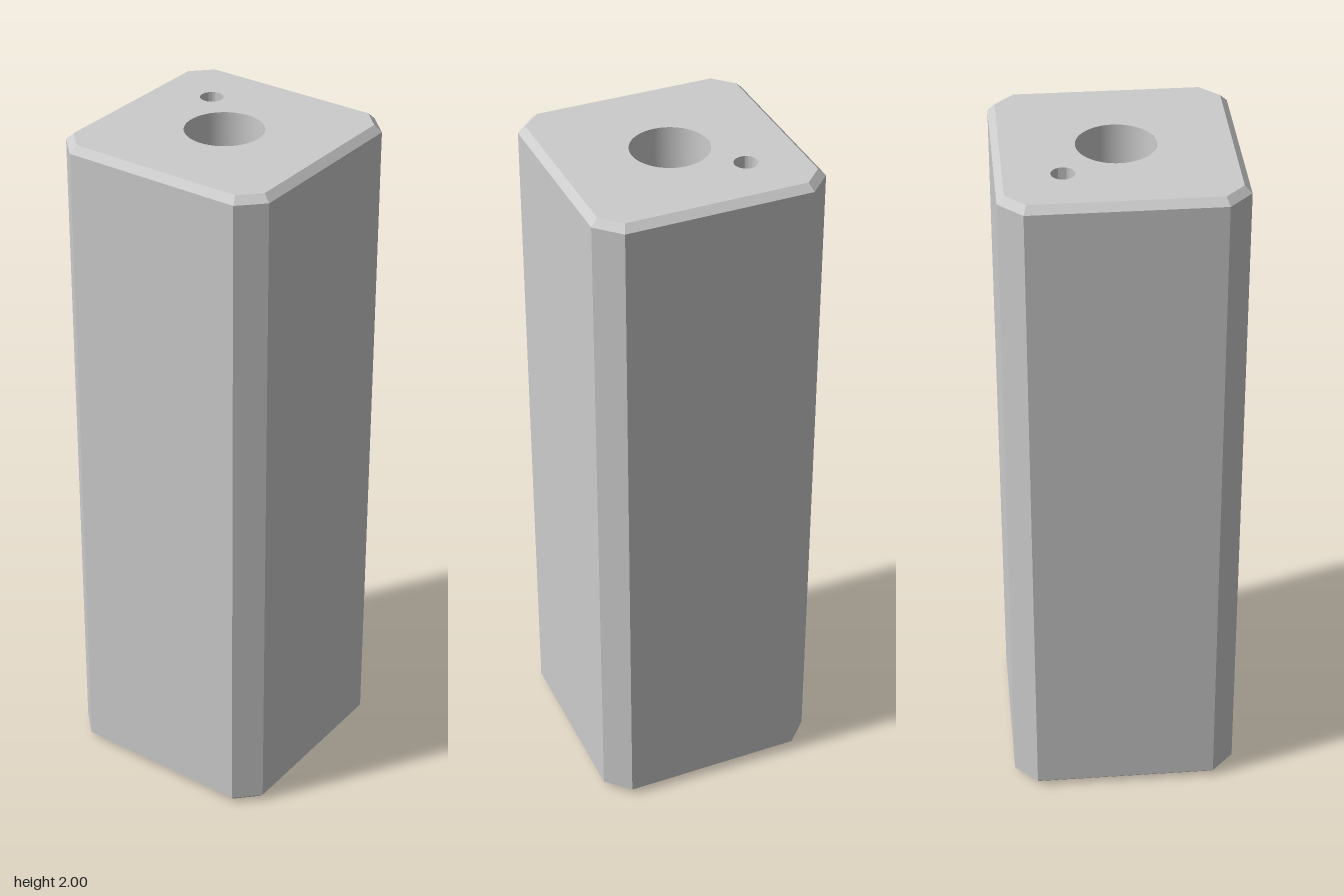
import * as THREE from 'three';
import { toCreasedNormals } from 'three/addons/utils/BufferGeometryUtils.js';

const HEIGHT = 2, HALF = 0.333, CORNER = 0.267, BEVEL = 0.02;
const BORE = 0.11, COUNTERBORE = 0.167, PIN = 0.033, PIN_POS = 0.153;
const SEGMENTS = 64;

// Square with cut corners, counter-clockwise, inset by a uniform distance
function octagon(inset) {
  const h = HALF - inset, c = CORNER - inset * Math.tan(Math.PI / 8);
  return [[h, -c], [h, c], [c, h], [-c, h], [-h, c], [-h, -c], [-c, -h], [c, -h]]
    .map(([x, y]) => new THREE.Vector2(x, y));
}

// Flat walls and bevels lofted through octagons at successive heights
function shellGeometry(levels) {
  const positions = [];
  const loops = levels.map(([y, inset]) => octagon(inset).map(p => [p.x, y, -p.y]));
  for (let k = 0; k < loops.length - 1; k++) {
    for (let i = 0; i < 8; i++) {
      const j = (i + 1) % 8;
      const a = loops[k][i], b = loops[k][j], c = loops[k + 1][j], d = loops[k + 1][i];
      positions.push(...a, ...b, ...c, ...a, ...c, ...d);
    }
  }
  const geometry = new THREE.BufferGeometry();
  geometry.setAttribute('position', new THREE.Float32BufferAttribute(positions, 3));
  geometry.computeVertexNormals();
  return geometry;
}

// End face pierced by round holes given as [x, y, radius]
function capGeometry(holes) {
  const shape = new THREE.Shape(octagon(BEVEL));
  for (const [x, y, r] of holes) {
    shape.holes.push(new THREE.Path().absarc(x, y, r, 0, Math.PI * 2, true));
  }
  return new THREE.ShapeGeometry(shape, SEGMENTS);
}

// Inward-facing hole lining turned from a profile
function holeGeometry(profile) {
  const points = profile.map(([r, y]) => new THREE.Vector2(r, y));
  return toCreasedNormals(new THREE.LatheGeometry(points, SEGMENTS), 0.6);
}

export function createModel() {
  const model = new THREE.Group();
  model.name = 'chamferedBlock';
  const material = new THREE.MeshStandardMaterial({ color: 0xcccccc, side: THREE.DoubleSide });
  const add = (name, geometry) => {
    const mesh = new THREE.Mesh(geometry, material);
    mesh.name = name;
    model.add(mesh);
    return mesh;
  };

  // Block sides with bevelled ends
  add('blockSides', shellGeometry([
    [0, BEVEL], [BEVEL, 0], [HEIGHT - BEVEL, 0], [HEIGHT, BEVEL],
  ]));

  // End faces
  const top = add('topFace', capGeometry([[0, 0, BORE], [PIN_POS, PIN_POS, PIN]]));
  top.rotation.x = -Math.PI / 2;
  top.position.y = HEIGHT;
  const bottom = add('bottomFace', capGeometry([[0, 0, COUNTERBORE]]));
  bottom.rotation.x = Math.PI / 2;

  // Blind holes in the top
  add('topBore', holeGeometry([[BORE, HEIGHT], [BORE, 1.5], [0, 1.5]]));
  const pin = add('pinHole', holeGeometry([[PIN, HEIGHT], [PIN, 1.8], [0, 1.8]]));
  pin.position.set(PIN_POS, 0, -PIN_POS);

  // Stepped blind hole in the bottom
  add('bottomBore', holeGeometry([
    [0, 0.5], [BORE, 0.5], [BORE, 0.067], [COUNTERBORE, 0.067], [COUNTERBORE, 0],
  ]));

  return model;
}
